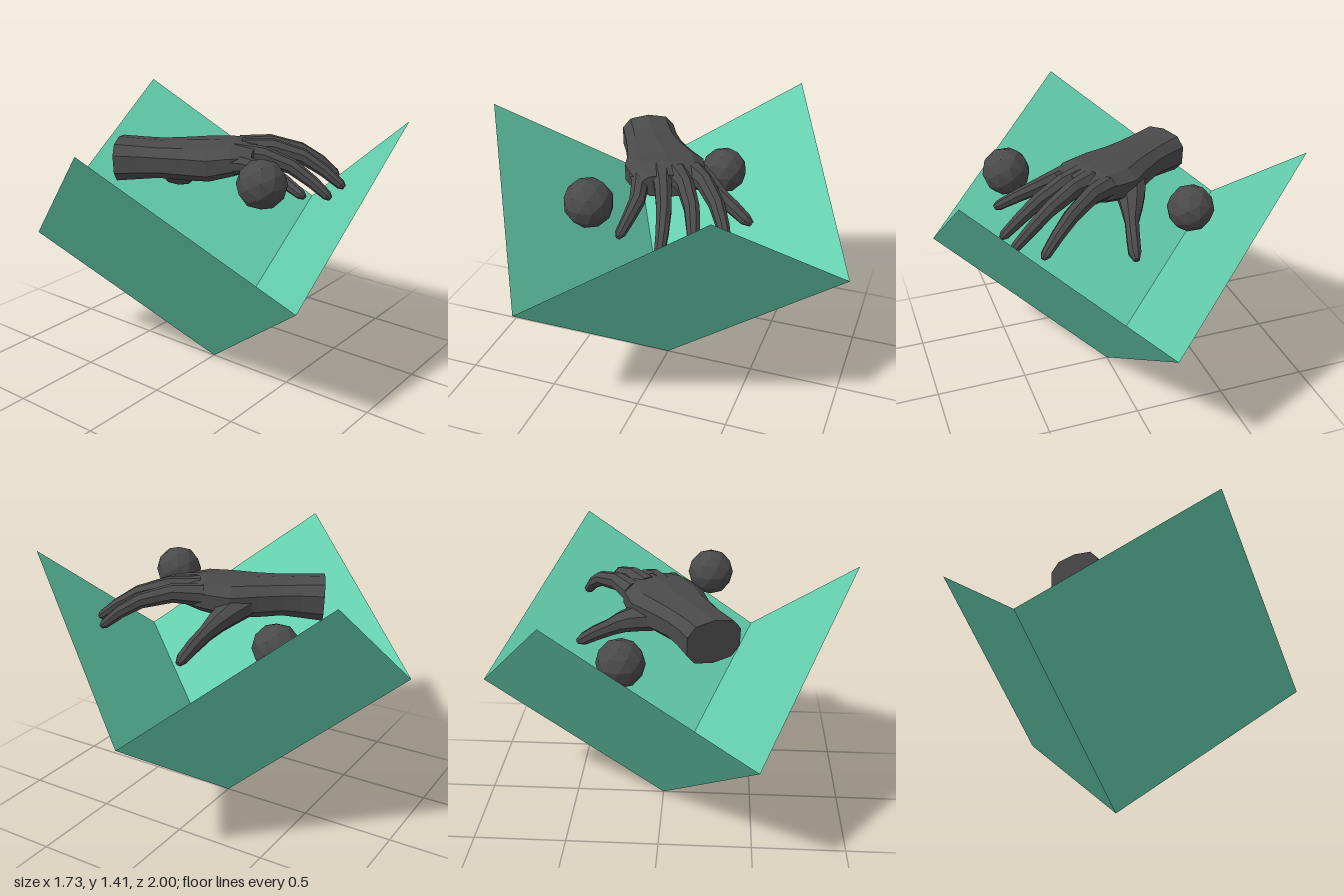
import * as THREE from 'three';

const dark = new THREE.MeshStandardMaterial({ color: 0x4a4a4a, flatShading: true });
const green = new THREE.MeshStandardMaterial({ color: 0x66d2b0, flatShading: true, side: THREE.DoubleSide });

// Capped loft through stations [x, y, z, halfWidth, halfHeight]; square > 0 makes the section boxier
function loft(stations, sides, square = 1) {
  const centers = stations.map(s => new THREE.Vector3(s[0], s[1], s[2]));
  const up = new THREE.Vector3(0, 1, 0);
  const pos = [], index = [];
  const n = stations.length;
  const round = v => Math.sign(v) * Math.pow(Math.abs(v), square);
  stations.forEach((st, i) => {
    const t = centers[Math.min(i + 1, n - 1)].clone().sub(centers[Math.max(i - 1, 0)]).normalize();
    const s = t.clone().cross(up).normalize();
    const u = s.clone().cross(t);
    for (let j = 0; j < sides; j++) {
      const a = (j + 0.5) / sides * Math.PI * 2;
      const p = centers[i].clone()
        .addScaledVector(s, round(Math.cos(a)) * st[3])
        .addScaledVector(u, round(Math.sin(a)) * st[4]);
      pos.push(p.x, p.y, p.z);
    }
  });
  for (let i = 0; i < n - 1; i++) {
    for (let j = 0; j < sides; j++) {
      const a = i * sides + j, b = i * sides + (j + 1) % sides;
      index.push(a, a + sides, b, b, a + sides, b + sides);
    }
  }
  const last = (n - 1) * sides;
  for (let j = 1; j < sides - 1; j++) {
    index.push(0, j, j + 1, last, last + j + 1, last + j);
  }
  const g = new THREE.BufferGeometry();
  g.setAttribute('position', new THREE.Float32BufferAttribute(pos, 3));
  g.setIndex(index);
  const flat = g.toNonIndexed();
  flat.computeVertexNormals();
  return flat;
}

// Thin square panel spanned by two edges that start at the origin
function panel(a, b) {
  const c = a.clone().add(b);
  const g = new THREE.BufferGeometry().setFromPoints([
    new THREE.Vector3(), a, c, new THREE.Vector3(), c, b]);
  g.computeVertexNormals();
  return g;
}

export function createModel() {
  const model = new THREE.Group();
  const add = (parent, name, geometry, material) => {
    const m = new THREE.Mesh(geometry, material);
    m.name = name;
    parent.add(m);
    return m;
  };

  // Open cube corner standing on its tip
  const corner = new THREE.Group();
  corner.name = 'cubeCorner';
  const h = Math.SQRT1_2, k = Math.sqrt(3) / 2;
  const edges = [
    new THREE.Vector3(-k, h, 0.5), new THREE.Vector3(k, h, 0.5), new THREE.Vector3(0, h, -1)];
  ['frontPanel', 'backLeftPanel', 'backRightPanel'].forEach((name, i) =>
    add(corner, name, panel(edges[i], edges[(i + 1) % 3]), green));
  model.add(corner);

  // Faceted balls beside the hand
  [['frontBall', 0.48, 1.19, 0.24], ['backBall', -0.4, 1.03, -0.19]].forEach(([name, x, y, z]) =>
    add(model, name, new THREE.IcosahedronGeometry(0.126, 1), dark).position.set(x, y, z));

  const hand = new THREE.Group();
  hand.name = 'hand';

  // Wrist and palm
  add(hand, 'palm', loft([
    [-0.425, 1.17, 0.27, 0.15, 0.115],
    [-0.32, 1.175, 0.215, 0.148, 0.105],
    [-0.23, 1.18, 0.165, 0.155, 0.095],
    [-0.12, 1.18, 0.095, 0.175, 0.1],
    [0, 1.185, 0.02, 0.215, 0.1],
    [0.12, 1.205, -0.04, 0.2, 0.085],
    [0.22, 1.21, -0.082, 0.145, 0.06]], 10, 0.75), dark);

  // Fingers: knuckle, middle joint, end joint and tip; middle points follow the curl
  const fingers = {
    indexFinger: [[0.06, 1.22, -0.16], [0.18, 1.235, -0.26], [0.31, 1.2, -0.36], [0.4, 1.14, -0.42], [0.47, 1.075, -0.46]],
    middleFinger: [[0.12, 1.23, -0.09], [0.25, 1.24, -0.18], [0.39, 1.2, -0.26], [0.5, 1.13, -0.305], [0.585, 1.065, -0.33]],
    ringFinger: [[0.13, 1.23, -0.01], [0.27, 1.225, -0.07], [0.41, 1.18, -0.125], [0.52, 1.11, -0.155], [0.6, 1.05, -0.17]],
    littleFinger: [[0.11, 1.2, 0.11], [0.24, 1.2, 0.065], [0.37, 1.18, 0.03], [0.48, 1.145, 0.03], [0.575, 1.105, 0.038]]
  };
  const widths = [0.065, 0.046, 0.04, 0.033, 0.027];
  const heights = [0.06, 0.05, 0.041, 0.034, 0.026];
  for (const [name, pts] of Object.entries(fingers)) {
    const stations = pts.map((p, i) => [...p, widths[i], heights[i]]);
    // Blunt rounded tip
    const tip = new THREE.Vector3(...pts[4]);
    tip.add(tip.clone().sub(new THREE.Vector3(...pts[3])).setLength(0.025));
    stations.push([tip.x, tip.y, tip.z, 0.013, 0.013]);
    add(hand, name, loft(stations, 8), dark);
  }

  // Thumb reaching back and down
  add(hand, 'thumb', loft([
    [-0.12, 1.17, -0.01, 0.09, 0.075],
    [-0.085, 1.14, -0.13, 0.08, 0.07],
    [-0.06, 1.105, -0.21, 0.06, 0.058],
    [-0.035, 1.06, -0.28, 0.038, 0.046],
    [-0.012, 1.015, -0.36, 0.036, 0.042],
    [0.005, 0.97, -0.43, 0.034, 0.034],
    [0.008, 0.95, -0.465, 0.016, 0.016]], 8), dark);
  model.add(hand);

  return model;
}
